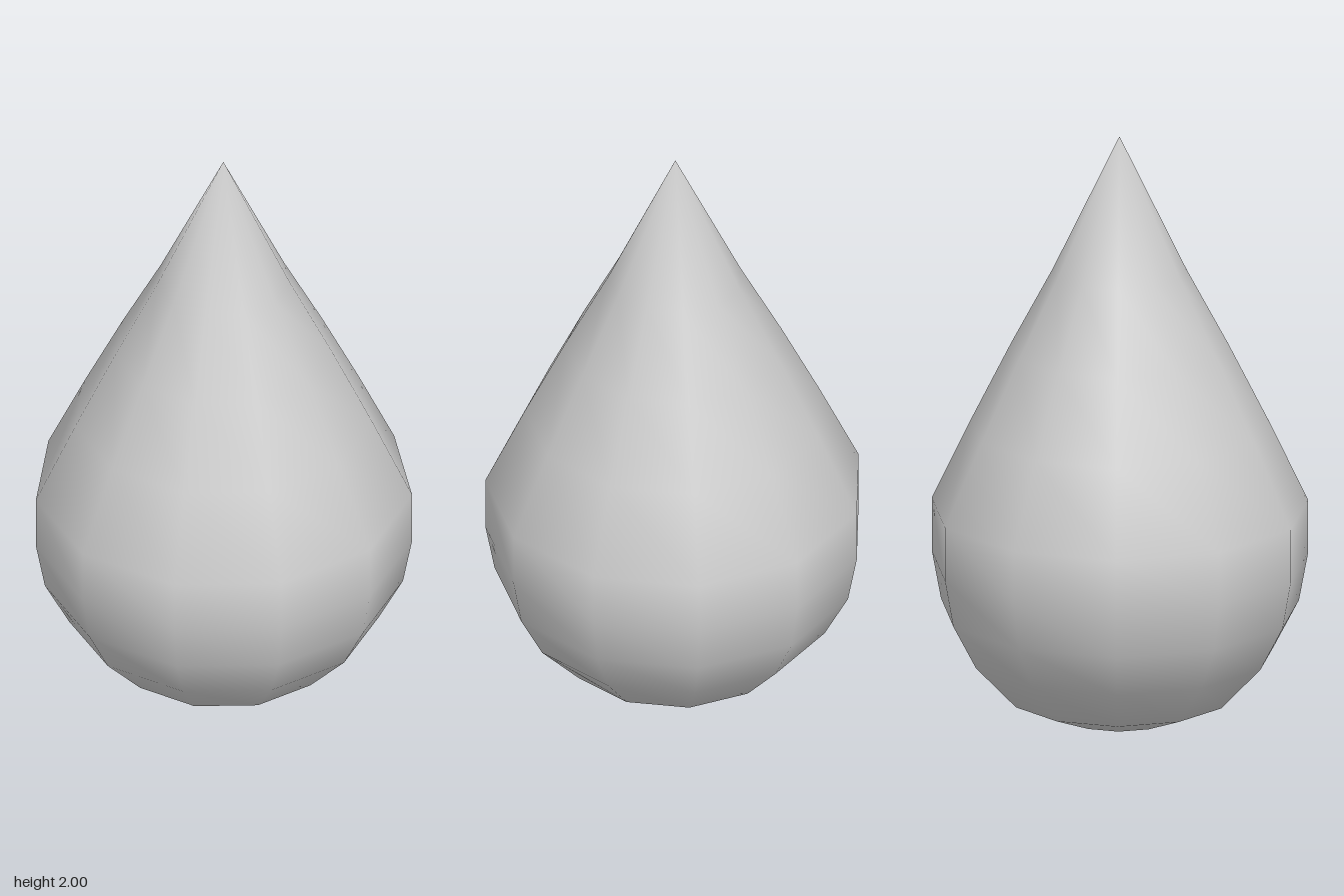
import * as THREE from 'three';
import { mergeVertices } from 'three/addons/utils/BufferGeometryUtils.js';

export function createModel() {
  const group = new THREE.Group();
  group.name = 'teardrop';

  // Profile of radius and height, from the rounded base to the pointed tip
  const profile = [
    [0, 0], [0.183, 0.028], [0.368, 0.1], [0.51, 0.25], [0.59, 0.4],
    [0.62, 0.56], [0.62, 0.74], [0.49, 1.015], [0.358, 1.28], [0.22, 1.54], [0, 2],
  ].map(([r, y]) => new THREE.Vector2(r, y));

  // Eleven-sided drop with one corner on +x; poles and seam welded for smooth shading
  const lathe = new THREE.LatheGeometry(profile, 11, Math.PI / 2);
  lathe.deleteAttribute('normal');
  lathe.deleteAttribute('uv');
  const geometry = mergeVertices(lathe);
  geometry.computeVertexNormals();

  const drop = new THREE.Mesh(geometry, new THREE.MeshStandardMaterial({ color: 0xcccccc }));
  drop.name = 'drop';
  drop.position.x = -0.0125; // centres the odd-sided outline
  group.add(drop);
  return group;
}
